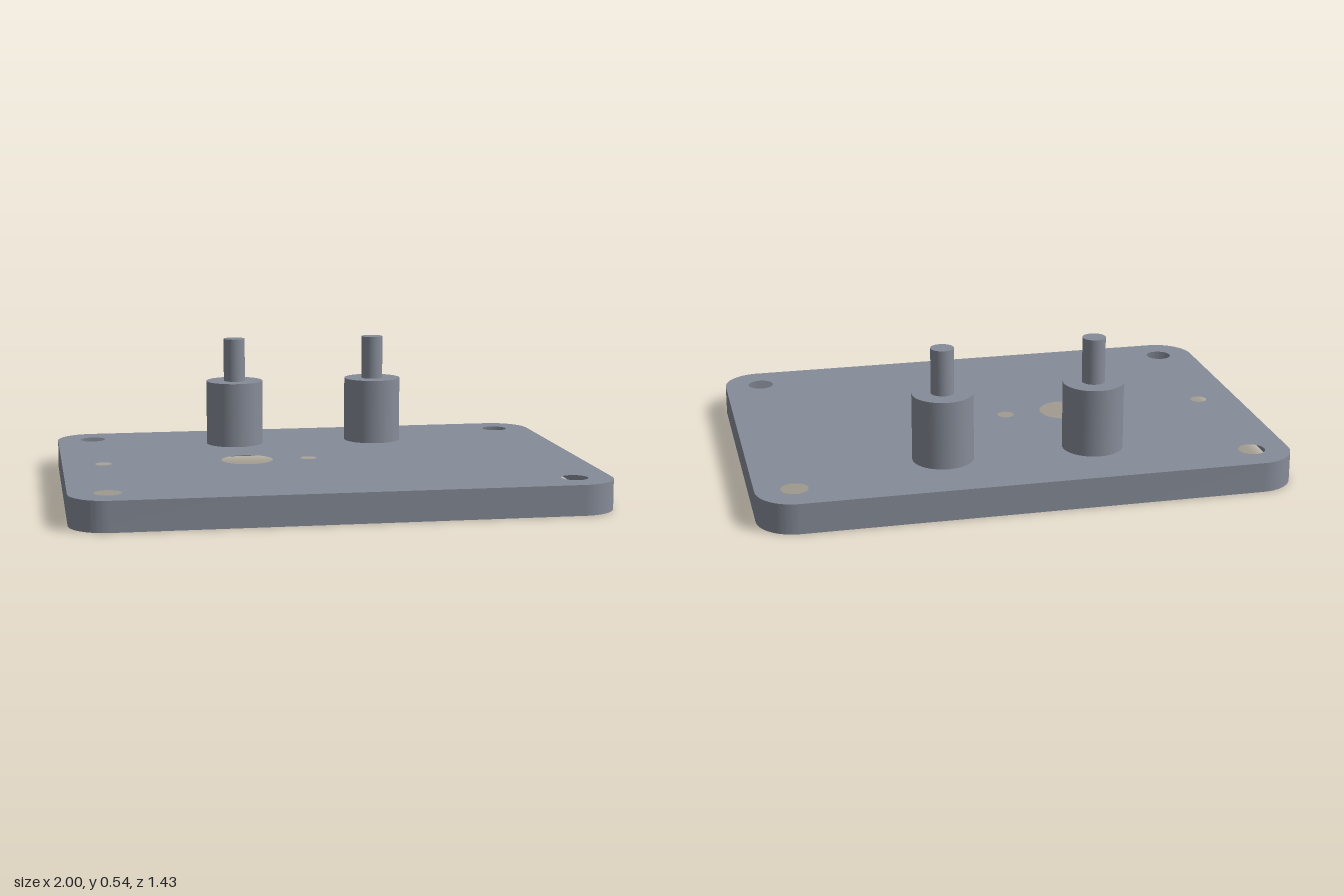
import * as THREE from 'three';
import { toCreasedNormals } from 'three/addons/utils/BufferGeometryUtils.js';

const HALF_X = 1, HALF_Z = 0.714, CORNER = 0.143, PLATE_Y = 0.114;
const POST_R = 0.114, POST_TOP = 0.371, PEG_R = 0.043, PEG_TOP = 0.543;
const POST_X = 0.286, POST_Z = -0.4;

const metal = new THREE.MeshStandardMaterial({ color: 0x868c98, side: THREE.DoubleSide });
metal.name = 'blue grey metal';

function add(parent, name, geometry) {
  const mesh = new THREE.Mesh(geometry, metal);
  mesh.name = name;
  parent.add(mesh);
  return mesh;
}

// Rounded rectangle, counter-clockwise
function outline() {
  const s = new THREE.Shape();
  const x = HALF_X - CORNER, y = HALF_Z - CORNER;
  [[x, y], [-x, y], [-x, -y], [x, -y]].forEach(([cx, cy], i) =>
    s.absarc(cx, cy, CORNER, i * Math.PI / 2, (i + 1) * Math.PI / 2, false));
  s.closePath();
  return s;
}

// Upright open wall following the outline
function skirtGeometry() {
  const pts = outline().getPoints(16);
  const pos = [];
  for (let i = 0; i < pts.length - 1; i++) {
    const p = pts[i], q = pts[i + 1];
    if (p.distanceTo(q) < 1e-5) continue;
    pos.push(p.x, p.y, 0, q.x, q.y, 0, q.x, q.y, PLATE_Y);
    pos.push(p.x, p.y, 0, q.x, q.y, PLATE_Y, p.x, p.y, PLATE_Y);
  }
  const g = new THREE.BufferGeometry();
  g.setAttribute('position', new THREE.Float32BufferAttribute(pos, 3));
  return toCreasedNormals(g.rotateX(-Math.PI / 2), Math.PI / 6);
}

// Thin top sheet with its drilled holes and the openings under the posts
function plateGeometry() {
  const s = outline();
  const holes = [[-POST_X, 0, 0.1], [-0.843, 0, 0.032], [-0.045, 0, 0.032]];
  for (const sx of [-1, 1]) {
    holes.push([sx * POST_X, POST_Z, POST_R]);
    for (const sz of [-1, 1]) holes.push([sx * 0.857, sz * 0.571, 0.05]);
  }
  for (const [x, z, r] of holes) {
    const h = new THREE.Path();
    h.absarc(x, -z, r, 0, Math.PI * 2, true);
    s.holes.push(h);
  }
  return new THREE.ShapeGeometry(s, 24).rotateX(-Math.PI / 2).translate(0, PLATE_Y, 0);
}

// Hollow stepped post, open at the bottom
function createPost() {
  const post = new THREE.Group();
  const tube = (r, y0, y1) =>
    new THREE.CylinderGeometry(r, r, y1 - y0, 48, 1, true).translate(0, (y0 + y1) / 2, 0);
  add(post, 'postWall', tube(POST_R, PLATE_Y, POST_TOP));
  add(post, 'postShoulder', new THREE.RingGeometry(PEG_R, POST_R, 48)
    .rotateX(-Math.PI / 2).translate(0, POST_TOP, 0));
  add(post, 'pegWall', tube(PEG_R, POST_TOP, PEG_TOP));
  add(post, 'pegCap', new THREE.CircleGeometry(PEG_R, 48)
    .rotateX(-Math.PI / 2).translate(0, PEG_TOP, 0));
  return post;
}

export function createModel() {
  const model = new THREE.Group();
  model.name = 'mountingCover';
  add(model, 'topPlate', plateGeometry());
  add(model, 'skirt', skirtGeometry());
  for (const side of [-1, 1]) {
    const post = createPost();
    post.name = side > 0 ? 'leftPost' : 'rightPost';
    post.position.set(side * POST_X, 0, POST_Z);
    model.add(post);
  }
  return model;
}
